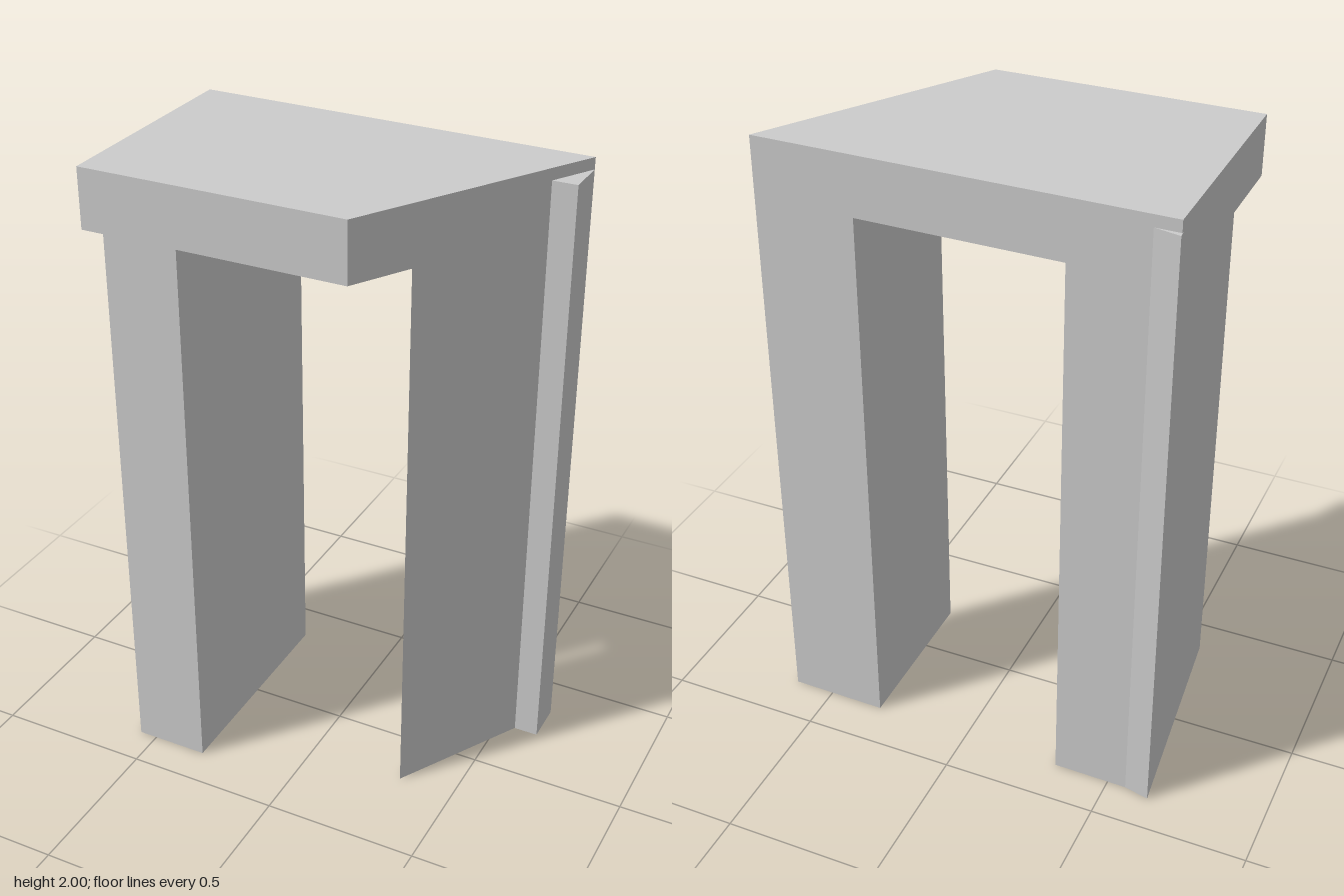
import * as THREE from 'three';

const material = new THREE.MeshStandardMaterial({ color: 0xcccccc, flatShading: true });

// Upright prism from a plan outline of [x, z] corners, between two heights
function prism(name, plan, bottom, top) {
  const shape = new THREE.Shape(plan.map(([x, z]) => new THREE.Vector2(x, -z)));
  const geometry = new THREE.ExtrudeGeometry(shape, { depth: top - bottom, bevelEnabled: false });
  geometry.rotateX(-Math.PI / 2).translate(0, bottom, 0);
  const mesh = new THREE.Mesh(geometry, material);
  mesh.name = name;
  return mesh;
}

export function createModel() {
  const group = new THREE.Group();
  group.name = 'archway';

  const underside = 1.81, trimTop = 1.963;
  // Plan corners of the lintel
  const backRight = [-0.637, -0.362], backLeft = [0.635, -0.345];
  const frontLeft = [0.212, 0.376], frontRight = [-0.633, 0.376];
  // Points along the slightly skewed back edge and the diagonal side
  const along = (a, b, x) => [x, a[1] + (b[1] - a[1]) * (x - a[0]) / (b[0] - a[0])];
  const back = (x) => along(backRight, backLeft, x);
  const side = (x) => along(frontLeft, backLeft, x);

  // Lintel slab across the top
  group.add(prism('lintel', [backRight, frontRight, frontLeft, backLeft], underside, 2));

  // Pillars: a rectangle on the right, a triangle under the diagonal on the left
  group.add(prism('rightPillar', [back(-0.56), [-0.56, 0.376], [-0.32, 0.376], back(-0.32)], 0, underside));
  group.add(prism('leftPillar', [back(0.318), side(0.318), backLeft], 0, underside));

  // Thin wedges against the outer faces of the pillars
  group.add(prism('rightWedge', [[-0.64, -0.379], [-0.56, 0.376], back(-0.56)], 0, trimTop));
  group.add(prism('leftWedge', [backLeft, [0.557, -0.211], [0.635, -0.211]], 0, trimTop));

  return group;
}
